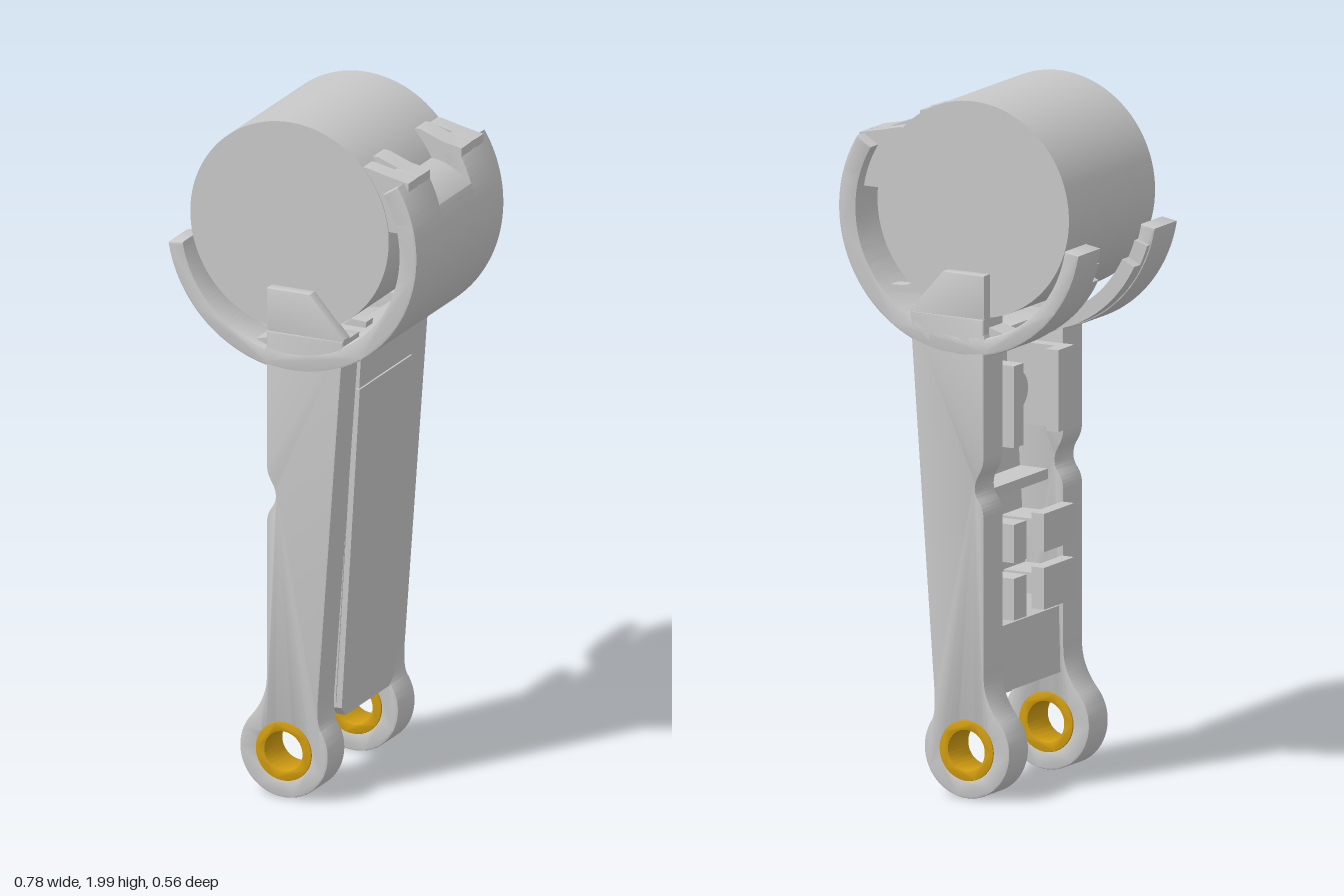
import * as THREE from 'three';
import { toCreasedNormals } from 'three/addons/utils/BufferGeometryUtils.js';

const grey = new THREE.MeshStandardMaterial({ color: 0xc8c8c8 });
grey.name = 'light grey';
const gold = new THREE.MeshStandardMaterial({ color: 0xd09c10 });
gold.name = 'bushing gold';

const RAD = Math.PI / 180;
const CX = 0, CY = 1.665; // centre of the cradle

export function createModel() {
  const model = new THREE.Group();
  model.name = 'cradleBracket';

  const add = (name, geometry, material = grey) => {
    const mesh = new THREE.Mesh(geometry, material);
    mesh.name = name;
    model.add(mesh);
    return mesh;
  };
  // Extrude an x-y outline between two z positions, with an optional soft edge
  const slab = (name, shape, z0, z1, material = grey, bevel = 0) => {
    const g = new THREE.ExtrudeGeometry(shape, {
      depth: z1 - z0 - 2 * bevel, curveSegments: 40, bevelEnabled: bevel > 0,
      bevelThickness: bevel, bevelSize: bevel, bevelOffset: -bevel, bevelSegments: 2,
    });
    g.translate(0, 0, z0 + bevel);
    return add(name, toCreasedNormals(g, 0.5), material);
  };
  // The same outline on both ends of the model
  const pair = (name, shape, z0, z1, material, bevel) => {
    slab(name + 'Front', shape, z0, z1, material, bevel);
    slab(name + 'Back', shape, -z1, -z0, material, bevel);
  };
  const poly = (pts) => new THREE.Shape(pts.map(([x, y]) => new THREE.Vector2(x, y)));
  const sector = (r0, r1, a0, a1) => {
    const s = new THREE.Shape();
    s.absarc(CX, CY, r1, a0 * RAD, a1 * RAD, false);
    s.absarc(CX, CY, r0, a1 * RAD, a0 * RAD, true);
    s.closePath();
    return s;
  };
  const box = (name, x0, x1, y0, y1, z0, z1) => {
    const m = add(name, new THREE.BoxGeometry(x1 - x0, y1 - y0, z1 - z0));
    m.position.set((x0 + x1) / 2, (y0 + y1) / 2, (z0 + z1) / 2);
    return m;
  };

  // Drum held in the cradle
  const drum = add('drum', new THREE.CylinderGeometry(0.31, 0.31, 0.485, 96));
  drum.rotation.x = Math.PI / 2;
  drum.position.set(-0.025, 1.69, 0);

  // Cradle shell: full width on the right, two curved arms on the left
  slab('cradleShell', sector(0.335, 0.39, -104, 16), -0.279, 0.279, grey, 0.004);
  pair('cradleHorn', sector(0.335, 0.39, 10, 32), 0.1, 0.279, grey, 0.004);
  pair('cradleArm', sector(0.345, 0.393, 189.5, 260), 0.15, 0.279, grey, 0.006);
  pair('cradleArmInner', sector(0.345, 0.388, 206, 260), 0.1, 0.156);
  pair('cradleArmFillet', sector(0.345, 0.388, 197, 210), 0.135, 0.156);

  // Scooped saddle between the horns
  const scoop = new THREE.Shape();
  scoop.moveTo(0.24, 1.832);
  scoop.lineTo(0.27, 1.828);
  scoop.quadraticCurveTo(0.33, 1.815, 0.374, 1.772);
  scoop.lineTo(0.34, 1.7);
  scoop.lineTo(0.26, 1.7);
  scoop.closePath();
  slab('saddle', scoop, -0.1, 0.1);

  // Stepped clips reaching from the horns to the drum, with a slot between
  const clip = (top) => poly([
    [0.2, top], [0.215, top], [0.285, 1.884], [0.345, 1.872], [0.345, 1.72], [0.25, 1.72],
  ]);
  pair('clipInner', clip(1.91), 0.1, 0.168);
  pair('clipOuter', clip(1.9), 0.183, 0.24);
  pair('clipBridge', poly([[0.275, 1.886], [0.345, 1.873], [0.34, 1.72], [0.27, 1.72]]), 0.16, 0.19);
  pair('retainingNib', poly([[0.155, 1.435], [0.18, 1.455], [0.228, 1.453], [0.225, 1.435]]), 0.225, 0.268);

  // Legs with an eye at the foot and a shallow notch on the rear edge
  const EX = -0.025, EY = 0.143;
  const leg = new THREE.Shape();
  leg.moveTo(0.16, 1.385);
  leg.lineTo(-0.08, 1.385);
  leg.lineTo(-0.08, 0.99);
  leg.bezierCurveTo(-0.08, 0.94, -0.052, 0.935, -0.052, 0.895);
  leg.bezierCurveTo(-0.052, 0.86, -0.08, 0.86, -0.08, 0.81);
  leg.lineTo(-0.08, 0.36);
  leg.quadraticCurveTo(-0.08, 0.29, EX + 0.138 * Math.cos(140 * RAD), EY + 0.138 * Math.sin(140 * RAD));
  leg.absarc(EX, EY, 0.138, 140 * RAD, 395 * RAD, false);
  leg.quadraticCurveTo(0.077, 0.25, 0.083, 0.32);
  leg.closePath();
  const eye = new THREE.Path();
  eye.absarc(EX, EY, 0.085, 0, Math.PI * 2, true);
  leg.holes.push(eye);
  pair('leg', leg, 0.17, 0.279, grey, 0.005);

  // Tabs at the leg tops that overlap the drum ends
  pair('legTab', poly([[-0.08, 1.37], [0.16, 1.37], [0.16, 1.39], [0.055, 1.51], [-0.08, 1.51]]),
    0.235, 0.276, grey, 0.003);
  // Small gussets under the left arms
  pair('gusset', poly([[-0.16, 1.335], [-0.12, 1.3], [-0.075, 1.283], [-0.07, 1.36]]), 0.17, 0.25);

  // Bushings in the eyes
  const ring = new THREE.Shape();
  ring.absarc(EX, EY, 0.087, 0, Math.PI * 2, false);
  const bore = new THREE.Path();
  bore.absarc(EX, EY, 0.059, 0, Math.PI * 2, true);
  ring.holes.push(bore);
  pair('bushing', ring, 0.166, 0.282, gold, 0.002);

  // Body between the legs, hollowed on the rear side
  slab('body', poly([
    [0.03, 0.25], [0.085, 0.27], [0.15, 1.36], [0.09, 1.36], [0.04, 0.52], [-0.065, 0.48], [-0.07, 0.29],
  ]), -0.172, 0.172);

  // Sloping cover plate with cut lower corners, in two lengths
  const cover = (name, pts, lift) => {
    const g = new THREE.ExtrudeGeometry(poly(pts), { depth: 0.03, bevelEnabled: false });
    g.rotateY(Math.PI / 2);
    const p = g.attributes.position;
    for (let i = 0; i < p.count; i++) {
      p.setX(i, p.getX(i) + 0.07 + lift + (p.getY(i) - 0.225) * 0.059);
    }
    g.computeVertexNormals();
    add(name, g);
  };
  cover('coverPlate', [[-0.14, 0.227], [0.14, 0.227], [0.168, 0.255], [0.168, 1.21], [-0.168, 1.21], [-0.168, 0.255]], 0);
  cover('coverTop', [[-0.168, 1.213], [0.168, 1.213], [0.168, 1.36], [-0.168, 1.36]], -0.002);

  // Rear lugs and snap plates inside the hollow
  for (const [y0, y1] of [[0.505, 0.625], [0.67, 0.78]]) {
    box('rearLug', -0.115, 0.06, y0, y1, -0.17, -0.1);
    box('snapPlate', -0.115, -0.075, y0, y1, 0, 0.17);
    box('snapStem', -0.09, 0.06, y0 + 0.03, y1 - 0.03, 0.05, 0.17);
  }
  box('tallLug', -0.115, 0.08, 1, 1.235, -0.17, -0.115);
  box('tallPlate', -0.115, -0.075, 1, 1.235, 0.08, 0.17);
  box('tallStem', -0.09, 0.08, 1, 1.235, 0.13, 0.17);
  box('crossRib', -0.03, 0.07, 0.84, 0.87, -0.17, 0.17);

  // Hollow boss on the floor of the recess
  const boss = add('boss', toCreasedNormals(new THREE.LatheGeometry([
    [0.028, 0], [0.055, 0], [0.055, 0.11], [0.028, 0.11], [0.028, 0],
  ].map(([x, y]) => new THREE.Vector2(x, y)), 32), 0.5));
  boss.rotation.z = Math.PI / 2;
  boss.position.set(0.09, 1.12, 0.02);

  return model;
}
